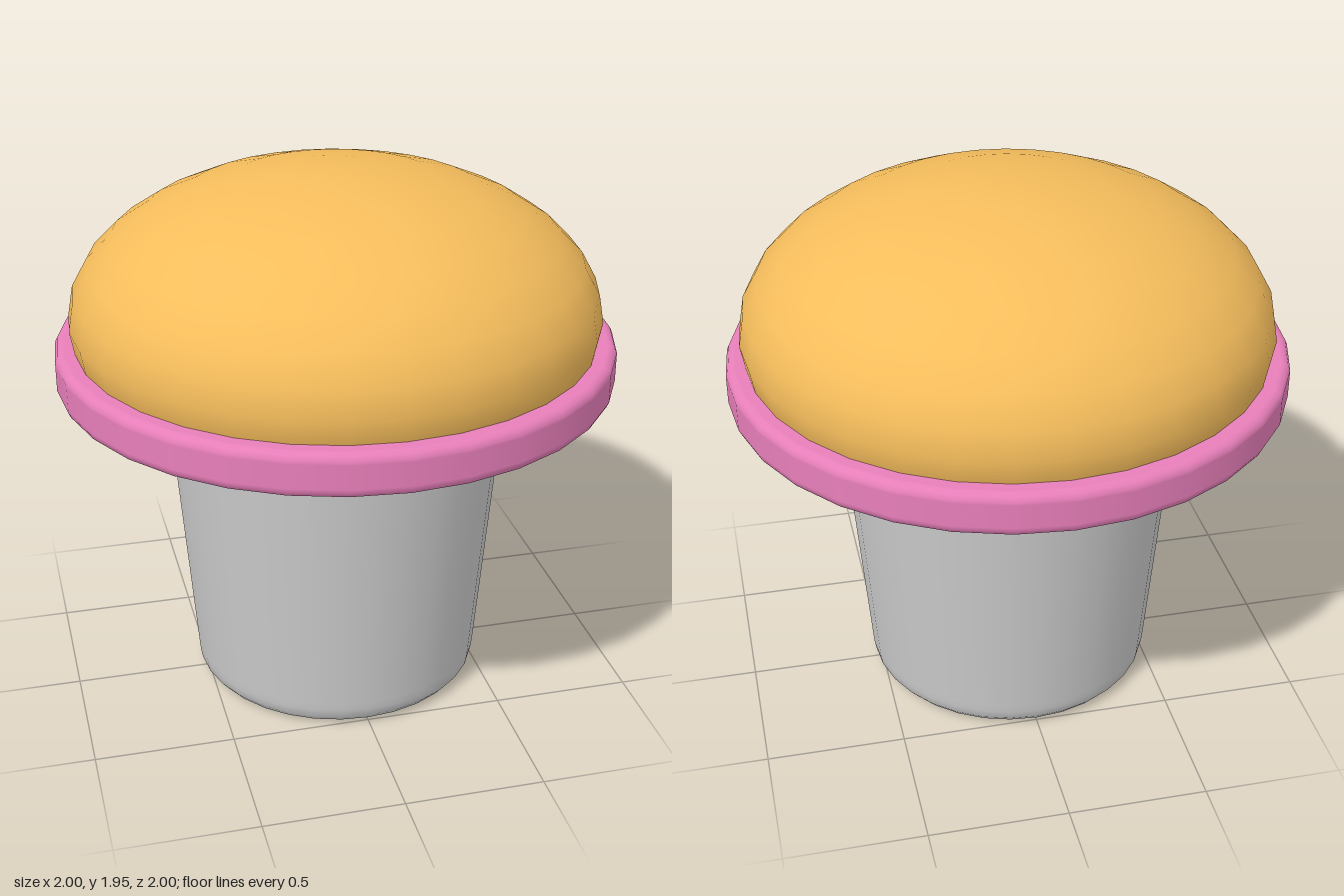
import * as THREE from 'three';

const SIDES = 32;

// Turned solid from a bottom-to-top profile of [radius, height] pairs
function turned(name, color, profile) {
  const points = profile.map(([r, y]) => new THREE.Vector2(r, y));
  const mesh = new THREE.Mesh(
    new THREE.LatheGeometry(points, SIDES),
    new THREE.MeshStandardMaterial({ color })
  );
  mesh.name = name;
  return mesh;
}

export function createModel() {
  const group = new THREE.Group();
  group.name = 'cupcake';

  // Tapered cup with a softly rounded foot
  group.add(turned('cup', 0xcccccc, [
    [0, 0], [0.46, 0], [0.475, 0.002], [0.505, 0.014], [0.525, 0.038],
    [0.531, 0.07], [0.534, 0.1], [0.61, 1.03], [0.612, 1.05], [0, 1.05],
  ]));

  // Flat icing disc with rounded rims
  group.add(turned('icingRing', 0xe87fba, [
    [0, 1.19], [0.965, 1.19], [0.975, 1.191], [0.992, 1.198], [1, 1.215],
    [1, 1.225], [1, 1.31], [1, 1.32], [0.992, 1.337], [0.975, 1.344],
    [0.965, 1.345], [0, 1.345],
  ]));

  // Domed cake: a flattened sphere passing through the ring
  const cake = new THREE.Mesh(
    new THREE.SphereGeometry(1, SIDES, 16),
    new THREE.MeshStandardMaterial({ color: 0xf5bd5c })
  );
  cake.name = 'cake';
  cake.scale.set(0.945, 0.515, 0.945);
  cake.position.y = 1.43;
  group.add(cake);

  return group;
}
